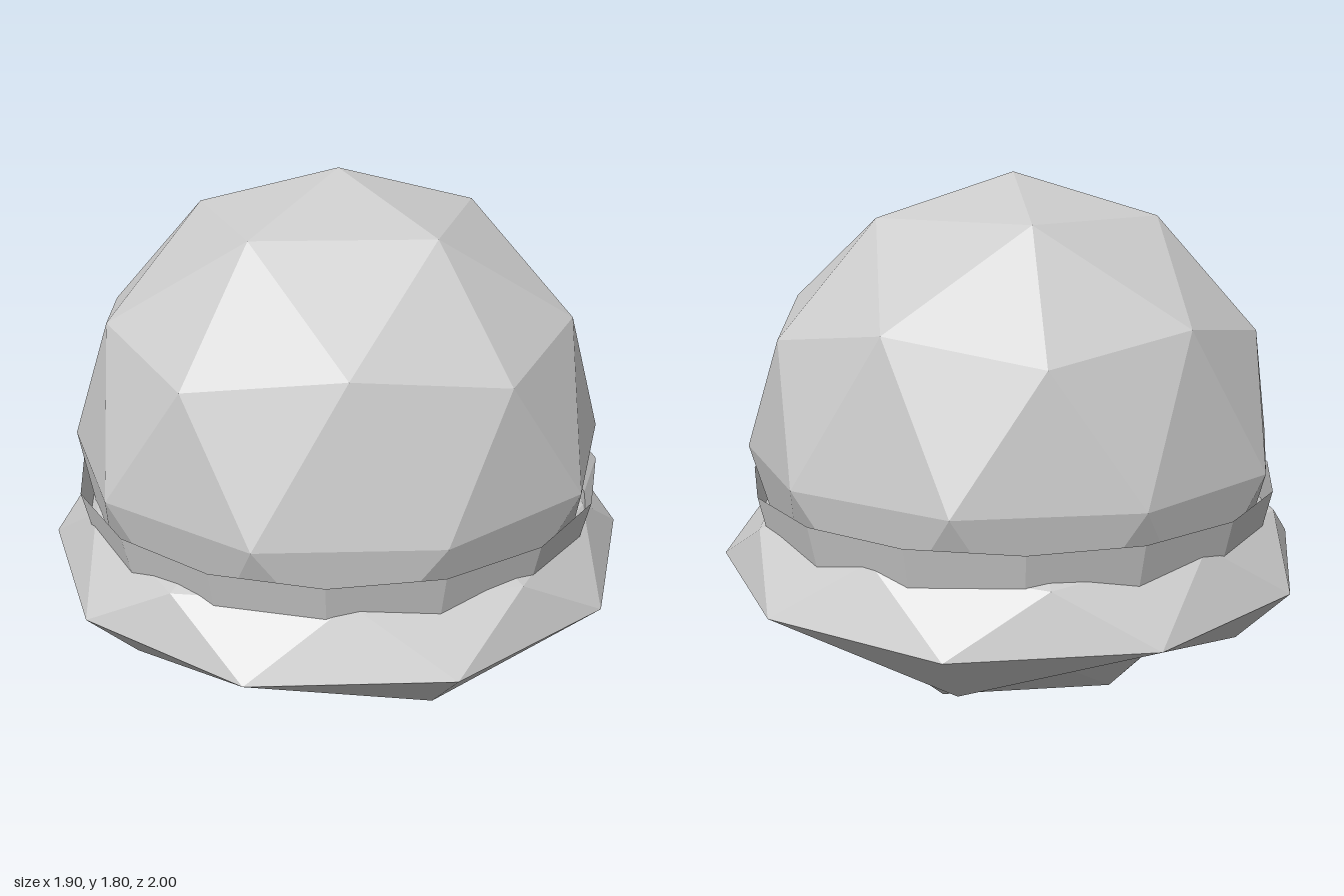
import * as THREE from 'three';

const material = new THREE.MeshStandardMaterial({ color: 0xcccccc, flatShading: true, side: THREE.DoubleSide });

// Faceted ball with a vertex at each pole
function facetedBall(radius) {
  const t = (1 + Math.sqrt(5)) / 2;
  return new THREE.IcosahedronGeometry(radius, 1).rotateZ(-Math.atan(1 / t));
}

// Flattened rim: faceted ball above the equator, five-sided tapered underside below
function rimGeometry(height, lowerRadius, lowerY, poleY) {
  const ball = facetedBall(1).scale(1, height, 1);
  const p = ball.attributes.position;
  const corners = [];
  for (let i = 0; i < p.count; i += 3) {
    const middle = (p.getY(i) + p.getY(i + 1) + p.getY(i + 2)) / 3;
    if (middle < 0) continue;
    for (let k = i; k < i + 3; k++) corners.push(p.getX(k), p.getY(k), p.getZ(k));
  }
  const ring = (step, r, y) => {
    const a = Math.PI / 2 + step * Math.PI / 5;
    return [r * Math.cos(a), y, r * Math.sin(a)];
  };
  const outer = (i) => ring(i, 1, 0);
  const inner = (i) => ring(i, lowerRadius, lowerY);
  const tri = (a, b, c) => corners.push(...a, ...b, ...c);
  for (let i = 0; i < 10; i += 2) {
    tri(outer(i), outer(i + 1), inner(i));
    tri(outer(i + 1), inner(i + 2), inner(i));
    tri(outer(i + 1), outer(i + 2), inner(i + 2));
    tri(inner(i), inner(i + 2), [0, poleY, 0]);
  }
  const g = new THREE.BufferGeometry();
  g.setAttribute('position', new THREE.Float32BufferAttribute(corners, 3));
  g.computeVertexNormals();
  return g;
}

export function createModel() {
  const model = new THREE.Group();
  const add = (name, geometry, y) => {
    const mesh = new THREE.Mesh(geometry, material);
    mesh.name = name;
    mesh.position.y = y;
    model.add(mesh);
  };

  // Main round body
  add('body', facetedBall(0.9), 0.9);

  // Wide flattened rim around the lower half
  add('rim', rimGeometry(0.39, 0.83, -0.185, -0.335), 0.52);

  // Open sixteen-sided collar, narrowing downward into the rim
  add('collar', new THREE.CylinderGeometry(0.895, 0.835, 0.28, 16, 1, true), 0.663);

  return model;
}
